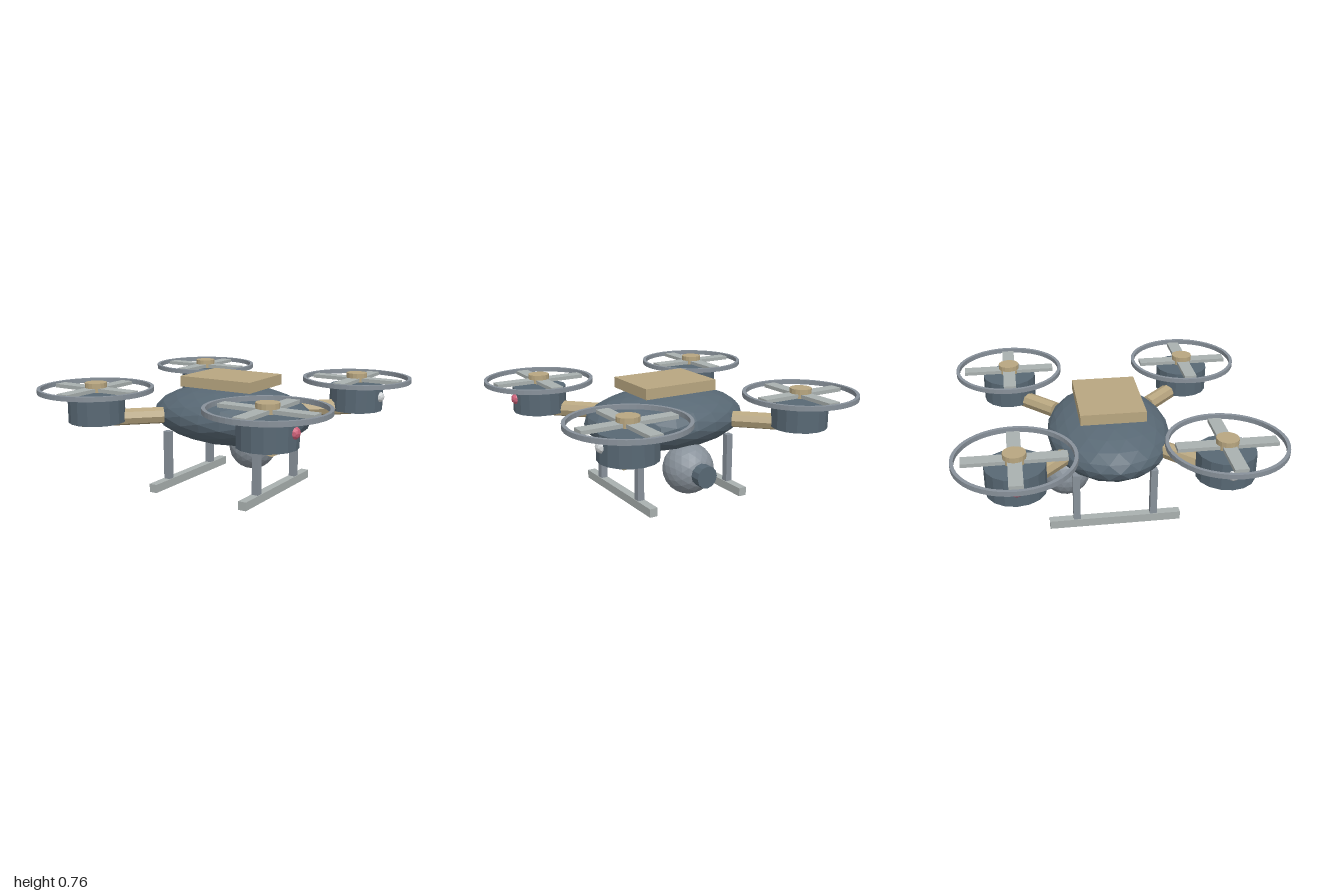
import * as THREE from 'three';

const mat = (name, color) => new THREE.MeshStandardMaterial({ name, color });

// Faceted look: every face gets its own normal
function faceted(geometry) {
  const g = geometry.index ? geometry.toNonIndexed() : geometry;
  g.computeVertexNormals();
  return g;
}

export function createModel() {
  const slate = mat('slate', 0x586874);
  const tan = mat('tan', 0xb8a680);
  const steel = mat('steelGrey', 0x88919a);
  const pale = mat('paleGrey', 0xa9b0af);
  const red = mat('signalRed', 0xcc6078);
  const white = mat('signalWhite', 0xd2d6d8);

  const model = new THREE.Group();
  model.name = 'quadcopter';

  function add(parent, name, geometry, material, x = 0, y = 0, z = 0) {
    const mesh = new THREE.Mesh(faceted(geometry), material);
    mesh.name = name;
    mesh.position.set(x, y, z);
    parent.add(mesh);
    return mesh;
  }

  // Body and battery
  add(model, 'body', new THREE.IcosahedronGeometry(1, 3).scale(0.566, 0.197, 0.406), slate, 0, 0.498, 0);
  add(model, 'battery', new THREE.BoxGeometry(0.53, 0.07, 0.42), tan, 0, 0.725, 0);

  // Camera ball with a lens facing the back
  add(model, 'cameraBall', new THREE.IcosahedronGeometry(0.168, 3), steel, 0, 0.218, -0.29);
  add(model, 'cameraLens', new THREE.CylinderGeometry(0.073, 0.073, 0.09, 12).rotateX(Math.PI / 2), slate, 0, 0.218, -0.465);

  // Four rotor units, each on a diagonal arm
  const guardProfile = [[0.348, 0], [0.37, 0], [0.37, 0.03], [0.348, 0.03], [0.348, 0]]
    .map(([r, y]) => new THREE.Vector2(r, y));
  const reach = 0.63;
  for (const sx of [1, -1]) {
    for (const sz of [1, -1]) {
      const arm = add(model, 'arm', new THREE.CylinderGeometry(0.055, 0.055, 0.53, 8).rotateZ(Math.PI / 2),
        tan, sx * 0.513, 0.51, sz * 0.513);
      arm.rotation.y = Math.atan2(-sz, sx);

      const rotor = new THREE.Group();
      rotor.name = 'rotorUnit';
      rotor.position.set(sx * reach, 0, sz * reach);
      model.add(rotor);
      add(rotor, 'motor', new THREE.CylinderGeometry(0.182, 0.182, 0.172, 16), slate, 0, 0.577, 0);
      add(rotor, 'guardRing', new THREE.LatheGeometry(guardProfile, 48), steel, 0, 0.686, 0);
      add(rotor, 'bladePair', new THREE.BoxGeometry(0.62, 0.024, 0.084), pale, 0, 0.701, 0);
      add(rotor, 'crossBladePair', new THREE.BoxGeometry(0.084, 0.023, 0.62), pale, 0, 0.701, 0);
      add(rotor, 'hub', new THREE.CylinderGeometry(0.07, 0.07, 0.058, 16), tan, 0, 0.716, 0);
      add(rotor, 'signalLight', new THREE.IcosahedronGeometry(0.04, 1), sx * sz > 0 ? red : white, sx * 0.165, 0.591, 0);
    }
  }

  // Landing gear: a skid and two posts per side
  for (const sx of [1, -1]) {
    add(model, 'skid', new THREE.BoxGeometry(0.055, 0.056, 0.86), pale, sx * 0.345, 0.028, 0);
    for (const sz of [1, -1]) {
      add(model, 'skidPost', new THREE.BoxGeometry(0.045, 0.335, 0.045), steel, sx * 0.345, 0.2175, sz * 0.252);
    }
  }
  return model;
}
